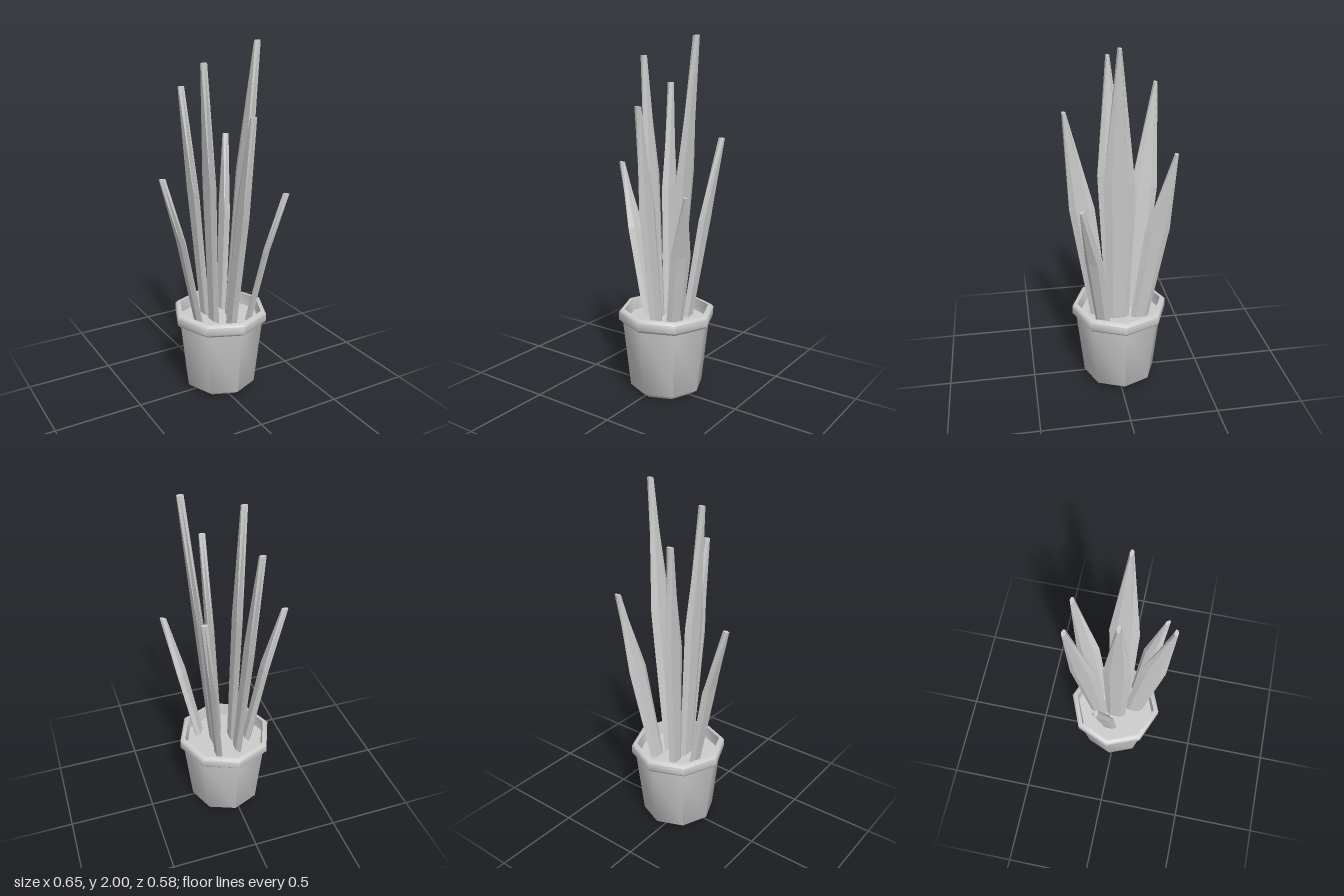
import * as THREE from 'three';
import { toCreasedNormals } from 'three/addons/utils/BufferGeometryUtils.js';

const paleGrey = new THREE.MeshStandardMaterial({ color: 0xcccccc });

function addMesh(parent, name, geometry) {
  const mesh = new THREE.Mesh(geometry, paleGrey);
  mesh.name = name;
  parent.add(mesh);
  return mesh;
}

// Eight-sided turned shape from [radius, height] pairs
function turned(profile) {
  const points = profile.map(([r, y]) => new THREE.Vector2(r, y));
  return toCreasedNormals(new THREE.LatheGeometry(points, 8), 0.9);
}

// Flat hexagonal blade through three rings: [x, y, z, half width]
function blade(rings, turn) {
  const geometry = new THREE.CylinderGeometry(1, 1, 1, 6, 2);
  const position = geometry.attributes.position;
  const c = Math.cos(turn), s = Math.sin(turn);
  for (let i = 0; i < position.count; i++) {
    const [x, y, z, width] = rings[Math.round((position.getY(i) + 0.5) * 2)];
    const across = position.getX(i) * 0.02;
    const along = position.getZ(i) * width;
    position.setXYZ(i, x + across * c + along * s, y, z - across * s + along * c);
  }
  const flat = geometry.toNonIndexed();
  flat.computeVertexNormals();
  return flat;
}

export function createModel() {
  const model = new THREE.Group();
  model.name = 'pottedPlant';

  // Pot with a bevelled foot and a thick rolled rim
  const pot = new THREE.Group();
  pot.name = 'pot';
  pot.position.set(0.03, 0, -0.013);
  model.add(pot);
  addMesh(pot, 'potBody', turned([[0, 0], [0.17, 0], [0.21, 0.03], [0.253, 0.425]]));
  addMesh(pot, 'potRim', turned([
    [0.235, 0.42], [0.26, 0.42], [0.275, 0.435], [0.275, 0.48],
    [0.262, 0.493], [0.244, 0.493], [0.235, 0.42],
  ]));
  addMesh(pot, 'soil', turned([[0.238, 0.425], [0, 0.425]]));

  // Leaves: base, middle and tip rings, then the turn about the upright axis
  const leaves = new THREE.Group();
  leaves.name = 'leaves';
  model.add(leaves);
  const tip = 0.011;
  const layout = [
    ['rightInnerLeaf', [-0.018, 0.42, 0, 0.06], [-0.055, 1.25, 0.017, 0.078], [-0.092, 1.9, 0.03, tip], 0],
    ['leftInnerLeaf', [0.093, 0.42, 0.003, 0.064], [0.167, 1.29, 0.01, 0.083], [0.234, 2, 0.022, tip], 0],
    ['frontLeaf', [0.04, 0.42, 0.1, 0.056], [0.048, 1.1, 0.195, 0.07], [0.055, 1.65, 0.28, tip], 0],
    ['frontLeftLeaf', [0.156, 0.42, 0.098, 0.046], [0.235, 0.86, 0.155, 0.057], [0.308, 1.2, 0.224, tip], -0.64],
    ['backLeftLeaf', [0.104, 0.42, -0.12, 0.052], [0.165, 1, -0.2, 0.068], [0.218, 1.45, -0.278, tip], 0],
    ['backRightLeaf', [-0.018, 0.42, -0.103, 0.055], [-0.058, 1.16, -0.167, 0.076], [-0.094, 1.75, -0.228, tip], 0],
    ['rightOuterLeaf', [-0.104, 0.42, -0.028, 0.051], [-0.205, 0.93, -0.035, 0.063], [-0.307, 1.3, -0.043, tip], -0.08],
  ];
  for (const [name, base, middle, end, turn] of layout) {
    addMesh(leaves, name, blade([base, middle, end], turn));
  }

  return model;
}
